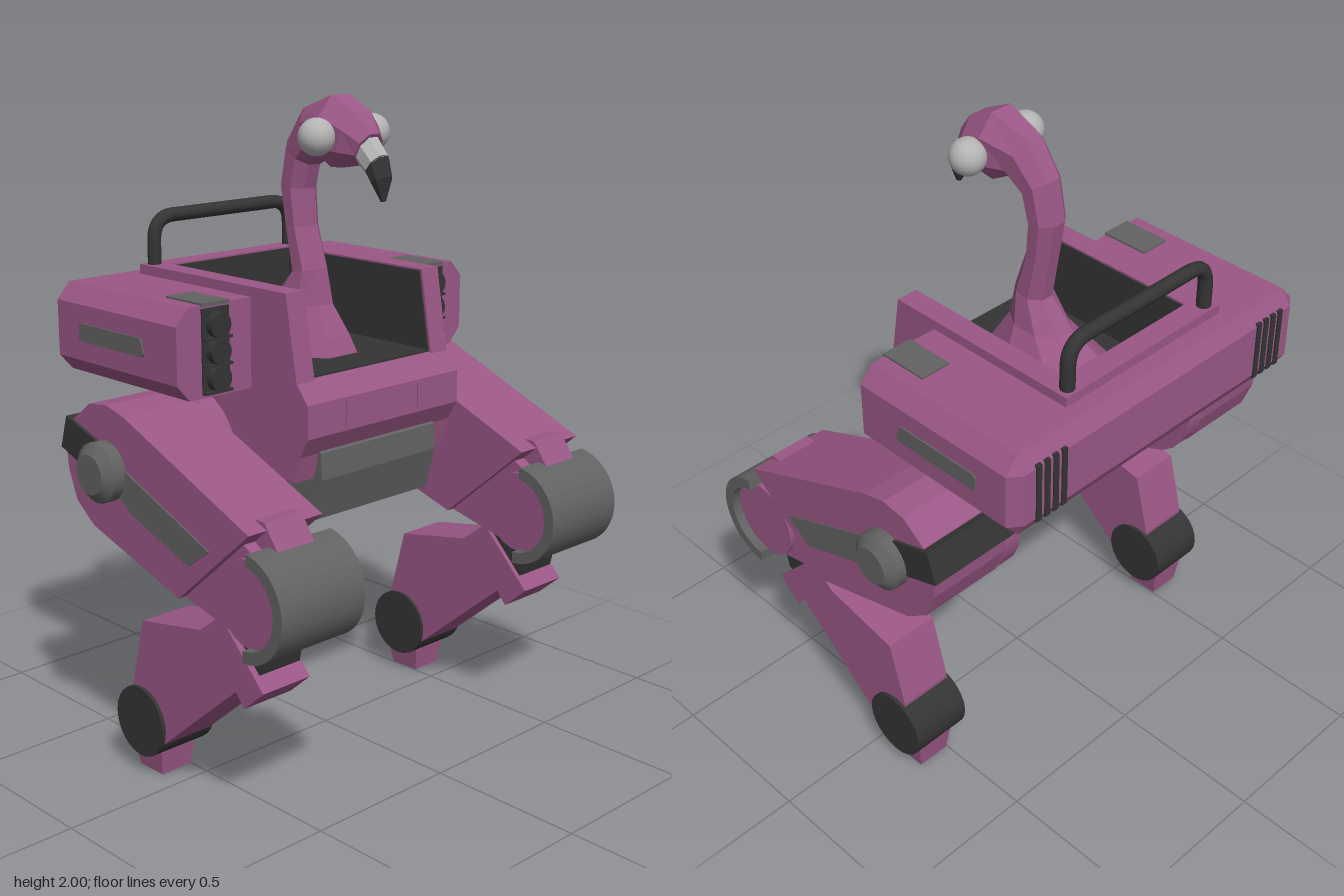
import * as THREE from 'three';
import { ConvexGeometry } from 'three/addons/geometries/ConvexGeometry.js';

const mat = (name, color, extra = {}) => Object.assign(new THREE.MeshStandardMaterial({ color, ...extra }), { name });

export function createModel() {
  const root = new THREE.Group();
  root.name = 'birdWalker';
  const plum = mat('plum', 0x9a5785);
  const dark = mat('charcoal', 0x343434);
  const grey = mat('grey', 0x626262);
  const pale = mat('paleGrey', 0xb4b4b4);

  const add = (name, geo, material, parent = root) => {
    const m = new THREE.Mesh(geo, material);
    m.name = name;
    parent.add(m);
    return m;
  };
  // Prism with a [z, y] side profile, spanning xa..xb
  const prism = (pts, xa, xb) => {
    const shape = pts instanceof THREE.Shape ? pts : new THREE.Shape(pts.map(p => new THREE.Vector2(p[0], p[1])));
    const g = new THREE.ExtrudeGeometry(shape, { depth: Math.abs(xb - xa), bevelEnabled: false, curveSegments: 16 });
    return g.rotateY(-Math.PI / 2).translate(Math.max(xa, xb), 0, 0);
  };
  const box = (x0, x1, y0, y1, z0, z1) =>
    new THREE.BoxGeometry(Math.abs(x1 - x0), y1 - y0, z1 - z0).translate((x0 + x1) / 2, (y0 + y1) / 2, (z0 + z1) / 2);
  // Cylinder lying along x
  const axle = (r, xa, xb, y, z, seg = 24) =>
    new THREE.CylinderGeometry(r, r, Math.abs(xb - xa), seg).rotateZ(Math.PI / 2).translate((xa + xb) / 2, y, z);
  const hull = pts => new ConvexGeometry(pts.map(p => new THREE.Vector3(...p)));
  // Loft through rings [z, y, halfWidth, halfDepth, tilt]; tilt 0 is a level ring, PI/2 faces forward
  const loft = (rings, n = 8) => {
    const pos = [], idx = [];
    rings.forEach(([z, y, rx, rd, tilt]) => {
      for (let i = 0; i < n; i++) {
        const a = ((i + 0.5) / n) * Math.PI * 2, d = Math.sin(a) * rd;
        pos.push(Math.cos(a) * rx, y - d * Math.sin(tilt), z + d * Math.cos(tilt));
      }
    });
    for (let r = 0; r < rings.length - 1; r++) {
      for (let i = 0; i < n; i++) {
        const a = r * n + i, b = r * n + (i + 1) % n;
        idx.push(a, a + n, b, b, a + n, b + n);
      }
    }
    const last = (rings.length - 1) * n;
    for (let i = 1; i < n - 1; i++) idx.push(0, i, i + 1, last, last + i + 1, last + i);
    const g = new THREE.BufferGeometry();
    g.setAttribute('position', new THREE.Float32BufferAttribute(pos, 3));
    g.setIndex(idx);
    const flat = g.toNonIndexed();
    flat.computeVertexNormals();
    return flat;
  };

  // Cab: lower hull, walls and dark lining
  add('lowerBody', prism([[0.205, 1.22], [0.255, 1.16], [0.255, 1.06], [0.22, 1], [0.2, 0.92], [-0.28, 0.92],
    [-0.39, 1.05], [-0.45, 1.17], [-0.5, 1.22]], -0.315, 0.315), plum);
  add('cabBackWall', box(-0.246, 0.246, 1.2, 1.47, -0.5, -0.43), plum);
  add('cabFloor', box(-0.245, 0.245, 1.219, 1.226, -0.43, 0.2), dark);
  add('cabBackLining', box(-0.245, 0.245, 1.22, 1.465, -0.431, -0.425), dark);

  // Pelvis and hip axle
  add('pelvis', prism([[0.19, 1.03], [0.23, 1], [0.235, 0.92], [0.2, 0.79], [-0.15, 0.79], [-0.33, 0.9], [-0.33, 1.03]], -0.24, 0.24), grey);
  add('hipAxle', axle(0.085, -0.7, 0.7, 0.955, -0.185), grey);

  // Rear pack
  const packBack = [];
  for (const x of [-0.5, 0.5]) {
    packBack.push([x, 1.44, -0.2 - 0.231], [x, 1.17, -0.431], [x, 1.44, -0.55], [x, 1.17, -0.55], [x, 1.39, -0.58], [x, 1.22, -0.58]);
  }
  add('rearPack', hull(packBack), plum);

  // Roll bar
  const bar = new THREE.CurvePath(), v = (x, y) => new THREE.Vector3(x, y, -0.47);
  bar.add(new THREE.LineCurve3(v(-0.28, 1.42), v(-0.28, 1.54)));
  bar.add(new THREE.QuadraticBezierCurve3(v(-0.28, 1.54), v(-0.28, 1.615), v(-0.205, 1.615)));
  bar.add(new THREE.LineCurve3(v(-0.205, 1.615), v(0.205, 1.615)));
  bar.add(new THREE.QuadraticBezierCurve3(v(0.205, 1.615), v(0.28, 1.615), v(0.28, 1.54)));
  bar.add(new THREE.LineCurve3(v(0.28, 1.54), v(0.28, 1.42)));
  add('rollBar', new THREE.TubeGeometry(bar, 60, 0.022, 10), dark);

  for (const s of [1, -1]) {
    const side = s > 0 ? 'left' : 'right';
    const px = (pts, a, b) => prism(pts, s * a, s * b);
    const bx = (a, b, ...r) => box(s * a, s * b, ...r);

    // Cab side wall with lining
    const wall = [[0.21, 1.21], [0.165, 1.47], [-0.5, 1.47], [-0.5, 1.21]];
    add(side + 'CabWall', px(wall, 0.245, 0.315), plum);
    add(side + 'CabLining', px([[0.2, 1.22], [0.158, 1.465], [-0.43, 1.465], [-0.43, 1.22]], 0.24, 0.246), dark);
    add(side + 'FrontTab', bx(0.135, 0.165, 1.07, 1.15, 0.25, 0.259), plum);

    // Chamfered side pod
    const pod = [];
    for (const [z, top, inset] of [[0.015, 0, 0], [-0.55, 0, 0], [-0.58, 0.05, 0.04]]) {
      pod.push([s * 0.31, 1.44 - top, z], [s * 0.31, 1.17 + top, z]);
      pod.push([s * (0.545 - inset / 4), 1.44 - top, z], [s * (0.545 - inset / 4), 1.17 + top, z]);
      pod.push([s * (0.59 - inset), 1.39, z], [s * (0.59 - inset), 1.22, z]);
    }
    add(side + 'Pod', hull(pod), plum);
    add(side + 'PodStripe', px([[-0.13, 1.29], [-0.145, 1.335], [-0.43, 1.335], [-0.44, 1.325], [-0.44, 1.285], [-0.425, 1.28], [-0.14, 1.28]], 0.588, 0.595), grey);
    add(side + 'PodTopPlate', bx(0.4, 0.5, 1.435, 1.446, -0.14, 0.02), grey);
    add(side + 'LampPanel', bx(0.4, 0.5, 1.18, 1.43, 0.01, 0.02), dark);
    for (let i = 0; i < 3; i++) {
      const lamp = new THREE.CylinderGeometry(0.037, 0.037, 0.03, 16).rotateX(Math.PI / 2);
      add(side + 'Lamp', lamp.translate(s * 0.45, 1.225 + i * 0.078, 0.03), dark);
      add(side + 'LampSeparator', bx(0.4, 0.5, 1.182 + i * 0.078, 1.19 + i * 0.078, 0.015, 0.035), dark);
    }
    for (let i = 0; i < 4; i++) {
      add(side + 'RearVent', bx(0.395 + i * 0.032, 0.413 + i * 0.032, 1.21, 1.4, -0.585, -0.57), dark);
    }

    // Thigh, hip disc, rear band and cap
    add(side + 'Thigh', px([[0.43, 0.91], [-0.1, 1.13], [-0.18, 1.15], [-0.26, 1.14], [-0.34, 1.08], [-0.38, 0.97], [-0.375, 0.92],
      [-0.34, 0.83], [-0.26, 0.77], [0.13, 0.65]], 0.425, 0.695), plum);
    add(side + 'HipDisc', axle(0.198, s * 0.37, s * 0.43, 0.955, -0.185), plum);
    add(side + 'HipBand', px([[-0.2, 1.03], [-0.365, 1.085], [-0.395, 0.985], [-0.2, 0.915]], 0.36, 0.705), dark);
    add(side + 'ThighStripe', px([[0.27, 0.825], [0.18, 0.76], [-0.07, 0.85], [-0.14, 0.9], [-0.13, 0.985]], 0.692, 0.7), grey);
    const cap = new THREE.CylinderGeometry(0.06, 0.09, 0.025, 20).rotateZ(-s * Math.PI / 2);
    add(side + 'HipCap', axle(0.09, s * 0.68, s * 0.735, 0.955, -0.185, 20), grey);
    add(side + 'HipCapBevel', cap.translate(s * 0.7475, 0.955, -0.185), grey);

    // Knee with curved guard
    add(side + 'KneeLink', px([[0.43, 0.84], [0.36, 0.88], [0.13, 0.65], [0.34, 0.6], [0.42, 0.6]], 0.45, 0.67), plum);
    add(side + 'KneeTab', px([[0.5, 0.82], [0.42, 0.93], [0.37, 0.93], [0.37, 0.8]], 0.495, 0.63), plum);
    add(side + 'Knee', axle(0.128, s * 0.435, s * 0.685, 0.71, 0.42), plum);
    const guard = new THREE.Shape();
    guard.absarc(0.42, 0.71, 0.158, -Math.PI * 0.5, Math.PI * 0.46, false);
    guard.absarc(0.42, 0.71, 0.122, Math.PI * 0.46, -Math.PI * 0.5, true);
    add(side + 'KneeGuard', px(guard, 0.405, 0.713), grey);

    // Shin, ankle and foot
    add(side + 'KneeStrut', px([[0.42, 0.58], [0.3, 0.64], [0.22, 0.54], [0.33, 0.45], [0.4, 0.485]], 0.485, 0.625), dark);
    add(side + 'Shin', px([[0.25, 0.62], [0.16, 0.55], [-0.105, 0.5], [-0.16, 0.29], [-0.16, 0.16], [-0.02, 0.13],
      [0.31, 0.41], [0.345, 0.37], [0.425, 0.44]], 0.47, 0.645), plum);
    add(side + 'Ankle', axle(0.11, s * 0.46, s * 0.657, 0.175, -0.12), dark);
    const foot = new THREE.CylinderGeometry(0.0945, 0.076, 0.1, 4, 1).rotateY(Math.PI / 4).toNonIndexed();
    foot.computeVertexNormals();
    add(side + 'Foot', foot.translate(s * 0.558, 0.05, -0.128), plum);

    // Eye
    add(side + 'Eye', new THREE.SphereGeometry(0.055, 18, 12).translate(s * 0.112, 1.885, 0.078), pale);
  }

  // Bird: body, neck and head in one loft, then the beak
  const h = Math.PI / 2;
  add('birdBodyNeckHead', loft([
    [-0.17, 1.215, 0.165, 0.27, 0], [-0.16, 1.28, 0.13, 0.23, 0], [-0.1, 1.37, 0.075, 0.11, 0], [-0.07, 1.47, 0.056, 0.058, -0.15],
    [-0.103, 1.6, 0.054, 0.047, -0.1], [-0.118, 1.72, 0.058, 0.053, 0.1], [-0.095, 1.82, 0.06, 0.062, 0.6], [-0.03, 1.885, 0.068, 0.085, 1.05],
    [0.06, 1.895, 0.095, 0.112, h], [0.13, 1.875, 0.085, 0.09, h + 0.25], [0.178, 1.852, 0.052, 0.052, h + 0.5],
  ]), plum);
  add('beakBase', loft([[0.16, 1.86, 0.045, 0.05, h + 0.5], [0.215, 1.805, 0.04, 0.042, h + 0.7]]), pale);
  add('beakTip', loft([[0.213, 1.807, 0.041, 0.043, h + 0.7], [0.23, 1.765, 0.036, 0.03, h + 1.1], [0.238, 1.705, 0.008, 0.008, h + 1.4]]), dark);

  return root;
}
